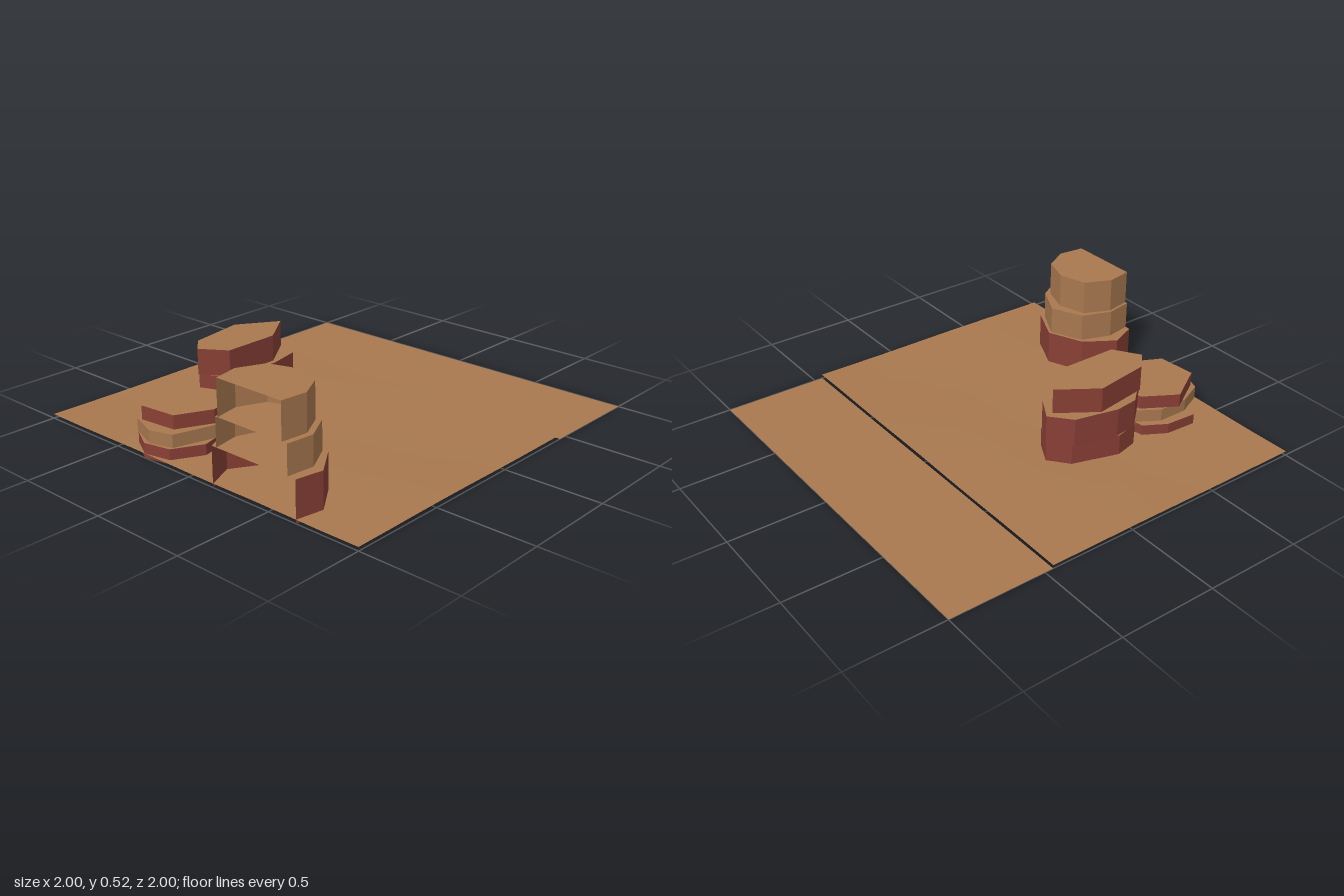
import * as THREE from 'three';

const sand = new THREE.MeshStandardMaterial({ color: 0xa8784f, side: THREE.DoubleSide });
sand.name = 'sandstone';
const red = new THREE.MeshStandardMaterial({ color: 0x883f35, side: THREE.DoubleSide });
red.name = 'redRock';

// Each layer: bottom, top, wall material, outline as [x, z] (clockwise from above)
const ROCKS = {
  // tower cut open by the tile border at x = -1
  cutTower: { open: true, layers: [
    [0, 0.2, red, [[-1, 0.16], [-0.86, 0.1], [-0.7, 0.2], [-0.62, 0.385], [-0.71, 0.575], [-0.86, 0.685], [-1, 0.66]]],
    [0.2, 0.345, sand, [[-1, 0.19], [-0.865, 0.165], [-0.71, 0.22], [-0.635, 0.385], [-0.72, 0.55], [-0.86, 0.63], [-1, 0.615]]],
    [0.345, 0.525, sand, [[-1, 0.205], [-0.87, 0.18], [-0.735, 0.24], [-0.69, 0.385], [-0.74, 0.53], [-0.865, 0.6], [-1, 0.585]]],
  ] },
  lowMesa: { open: false, layers: [
    [0, 0.075, red, [[-1, -0.3], [-0.935, -0.42], [-0.815, -0.545], [-0.65, -0.535], [-0.535, -0.47], [-0.49, -0.24], [-0.5, -0.165], [-0.82, -0.08], [-0.97, -0.16]]],
    [0.075, 0.14, sand, [[-0.985, -0.28], [-0.93, -0.43], [-0.8, -0.49], [-0.64, -0.49], [-0.53, -0.42], [-0.51, -0.25], [-0.55, -0.16], [-0.73, -0.095], [-0.95, -0.16]]],
    [0.14, 0.21, red, [[-0.925, -0.4], [-0.73, -0.52], [-0.56, -0.42], [-0.53, -0.25], [-0.65, -0.13], [-0.73, -0.115], [-0.905, -0.2]]],
  ] },
  longMesa: { open: false, layers: [
    [0, 0.13, red, [[-0.58, -0.37], [-0.45, -0.5], [-0.33, -0.53], [-0.09, -0.46], [-0.01, -0.36], [-0.075, -0.24], [-0.23, -0.215], [-0.4, -0.215], [-0.55, -0.27]]],
    [0.13, 0.28, red, [[-0.59, -0.37], [-0.435, -0.51], [-0.315, -0.525], [-0.09, -0.475], [0, -0.37], [-0.075, -0.245], [-0.235, -0.21], [-0.4, -0.21], [-0.54, -0.24]]],
    [0.28, 0.41, red, [[-0.6, -0.365], [-0.52, -0.45], [-0.235, -0.495], [-0.04, -0.365], [-0.225, -0.235], [-0.515, -0.235]]],
  ] },
};

// Faceted ring of walls; the closing wall is skipped on open rocks
function wallGeometry(outline, y0, y1, open) {
  const p = [];
  const n = outline.length - (open ? 1 : 0);
  for (let i = 0; i < n; i++) {
    const [ax, az] = outline[i];
    const [bx, bz] = outline[(i + 1) % outline.length];
    p.push(ax, y0, az, ax, y1, az, bx, y1, bz);
    p.push(ax, y0, az, bx, y1, bz, bx, y0, bz);
  }
  const g = new THREE.BufferGeometry();
  g.setAttribute('position', new THREE.Float32BufferAttribute(p, 3));
  g.computeVertexNormals();
  return g;
}

// Flat top of a layer
function capGeometry(outline, y) {
  const shape = new THREE.Shape(outline.map(([x, z]) => new THREE.Vector2(x, -z)));
  return new THREE.ShapeGeometry(shape).rotateX(-Math.PI / 2).translate(0, y, 0);
}

function addMesh(parent, name, geometry, material) {
  const m = new THREE.Mesh(geometry, material);
  m.name = name;
  parent.add(m);
}

export function createModel() {
  const model = new THREE.Group();
  model.name = 'desertTile';

  // Gently uneven desert floor
  const floor = new THREE.PlaneGeometry(1.455, 2, 8, 10).rotateX(-Math.PI / 2).translate(-0.2725, 0, 0);
  const pos = floor.attributes.position;
  for (let i = 0; i < pos.count; i++) {
    const x = pos.getX(i), z = pos.getZ(i);
    pos.setY(i, 0.02 + 0.003 * Math.sin(4 * x + 3 * z) * Math.cos(5 * z - 2 * x));
  }
  floor.computeVertexNormals();
  addMesh(model, 'desertFloor', floor, sand);

  // Lower flat strip beside the floor
  const strip = new THREE.PlaneGeometry(0.545, 2).rotateX(-Math.PI / 2).translate(0.7275, 0, 0);
  addMesh(model, 'lowerStrip', strip, sand);

  // Layered rocks
  for (const [name, { open, layers }] of Object.entries(ROCKS)) {
    const rock = new THREE.Group();
    rock.name = name;
    layers.forEach(([y0, y1, material, outline], i) => {
      addMesh(rock, `layerWall${i + 1}`, wallGeometry(outline, y0, y1, open), material);
      addMesh(rock, `layerTop${i + 1}`, capGeometry(outline, y1), sand);
    });
    model.add(rock);
  }
  return model;
}
